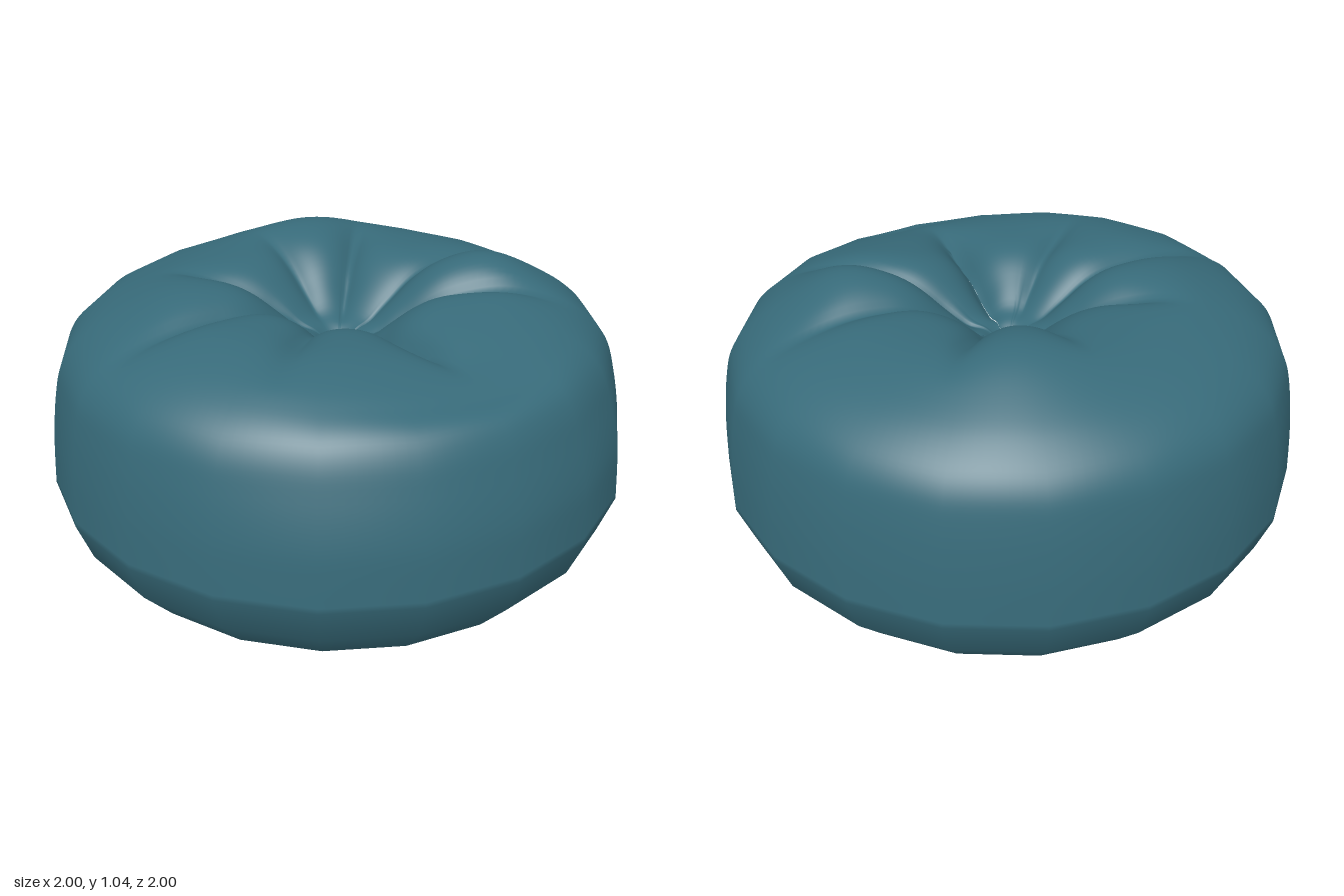
import * as THREE from 'three';
import { mergeVertices } from 'three/addons/utils/BufferGeometryUtils.js';

const SEGMENTS = 160;
const SIDES = 20; // the outline is a soft polygon

// Base and lower wall, from the middle of the base up to the widest ring
const LOWER = [[0, 0.005], [0.3, 0.005], [0.64, 0.008], [0.73, 0.025], [0.84, 0.09], [0.95, 0.215]];
// Upper wall and pillowy top, from the widest ring into the central dimple
const UPPER = [[1, 0.35], [0.988, 0.52], [0.966, 0.68], [0.935, 0.79], [0.87, 0.87], [0.76, 0.935],
  [0.6, 0.985], [0.45, 1.0], [0.32, 0.99], [0.2, 0.93], [0.1, 0.84], [0.04, 0.77], [0, 0.75]];

// Pleats: direction in degrees from the front towards +x, length, depth
const PLEATS = [[0, 0.75, 0.14], [52, 0.85, 0.1], [90, 0.95, 0.07], [139, 0.68, 0.1],
  [180, 0.6, 0.08], [230, 0.65, 0.09], [272, 0.95, 0.08], [312, 0.78, 0.07]];
// Swellings and sags of the stuffing: x, z, height, radius
const BUMPS = [[0.47, 0.2, 0.06, 0.22], [0.2, -0.47, 0.05, 0.24], [-0.45, -0.15, 0.02, 0.22],
  [-0.05, 0.55, -0.04, 0.4], [0.1, 0.8, -0.02, 0.25]];

const smooth = THREE.MathUtils.smoothstep;

// Height change of the top surface at a point
function topOffset(x, z) {
  const r = Math.hypot(x, z);
  let dy = 0;
  for (const [bx, bz, h, size] of BUMPS) {
    dy += h * Math.exp(-((x - bx) ** 2 + (z - bz) ** 2) / (size * size));
  }
  for (const [deg, length, depth] of PLEATS) {
    const a = THREE.MathUtils.degToRad(deg);
    const along = x * Math.sin(a) + z * Math.cos(a);
    if (along <= 0) continue;
    const across = Math.hypot(x * Math.cos(a) - z * Math.sin(a), 0.008);
    const fade = smooth(r, 0, 0.25) * (1 - smooth(r, length * 0.45, length));
    dy -= depth * fade * Math.exp(-across / 0.055);
  }
  return dy * smooth(r, 0, 0.15) * (1 - smooth(r, 0.8, 0.93));
}

function createCushion() {
  const toVec = ([x, y]) => new THREE.Vector2(x, y);
  const upper = new THREE.SplineCurve(UPPER.map(toVec)).getPoints(72);
  let geometry = new THREE.LatheGeometry([...LOWER.map(toVec), ...upper], SEGMENTS);
  const pos = geometry.attributes.position;
  for (let i = 0; i < pos.count; i++) {
    const x = pos.getX(i), y = pos.getY(i), z = pos.getZ(i);
    // the upper front leans back a little
    const lean = 1 - 0.025 * smooth(y, 0.5, 0.8) * smooth(z, 0.2, 0.9);
    // pleat and swell the top
    const dy = y > 0.7 ? topOffset(x, z) : 0;
    pos.setXYZ(i, x * lean, y + dy, z * lean);
  }
  // weld the seam so the shading is continuous
  geometry.deleteAttribute('uv');
  geometry.deleteAttribute('normal');
  geometry = mergeVertices(geometry, 1e-4);
  geometry.computeVertexNormals();
  flattenSides(geometry.attributes.position);
  return geometry;
}

// Flatten the outline into broad panels, keeping the round shading
function flattenSides(pos) {
  const step = (Math.PI * 2) / SIDES;
  for (let i = 0; i < pos.count; i++) {
    const x = pos.getX(i), z = pos.getZ(i);
    const a = Math.atan2(x, z) + Math.PI * 2;
    const flat = Math.cos(step / 2) / Math.cos((a % step) - step / 2);
    const k = THREE.MathUtils.lerp(1, flat, smooth(Math.hypot(x, z), 0.5, 0.85));
    pos.setX(i, x * k);
    pos.setZ(i, z * k);
  }
}

export function createModel() {
  const group = new THREE.Group();
  group.name = 'pouf';
  const fabric = new THREE.MeshStandardMaterial({ color: 0x376a79 });
  const cushion = new THREE.Mesh(createCushion(), fabric);
  cushion.name = 'cushion';
  group.add(cushion);
  return group;
}
